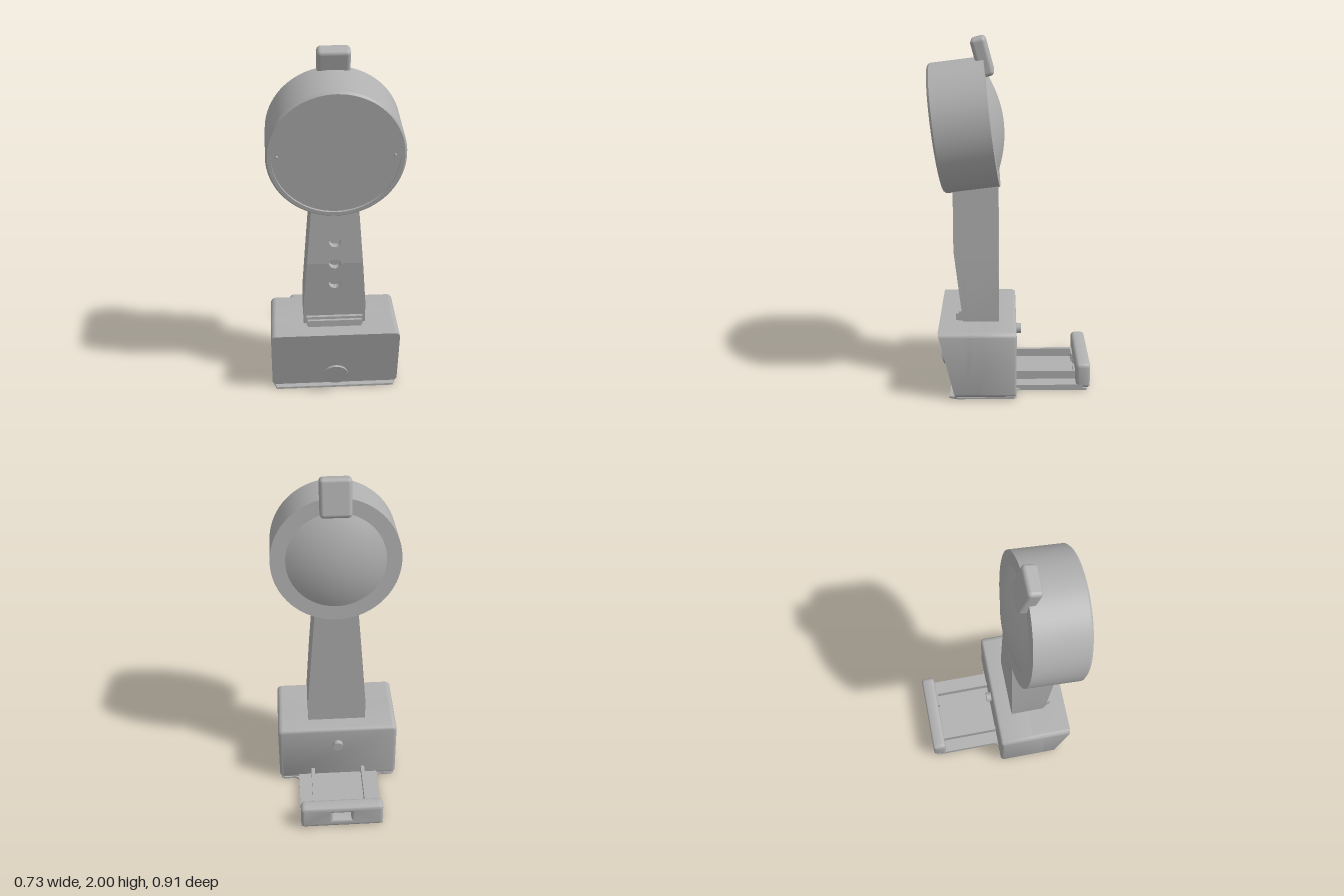
import * as THREE from 'three';
import { toCreasedNormals } from 'three/addons/utils/BufferGeometryUtils.js';
import { RoundedBoxGeometry } from 'three/addons/geometries/RoundedBoxGeometry.js';

const grey = new THREE.MeshStandardMaterial({ color: 0xb0b0b0 });
grey.name = 'matte grey';

export function createModel() {
  const model = new THREE.Group();
  model.name = 'handheldDevice';

  const add = (name, geo, x = 0, y = 0, z = 0, parent = model) => {
    const mesh = new THREE.Mesh(geo, grey);
    mesh.name = name;
    mesh.position.set(x, y, z);
    parent.add(mesh);
    return mesh;
  };
  const box = (name, w, h, d, x, y, z) => add(name, new THREE.BoxGeometry(w, h, d), x, y, z);
  const poly = (pts) => new THREE.Shape(pts.map(([x, y]) => new THREE.Vector2(x, y)));
  const circle = (y, r) => new THREE.Path().absarc(0, y, r, 0, Math.PI * 2);
  const rectHole = (x, y0, y1) => new THREE.Path(
    [[-x, y0], [-x, y1], [x, y1], [x, y0]].map(([a, b]) => new THREE.Vector2(a, b)));

  const roundRect = (x, y0, y1, r) => {
    const s = new THREE.Shape();
    s.moveTo(-x + r, y0);
    s.absarc(x - r, y0 + r, r, -Math.PI / 2, 0);
    s.absarc(x - r, y1 - r, r, 0, Math.PI / 2);
    s.absarc(-x + r, y1 - r, r, Math.PI / 2, Math.PI);
    s.absarc(-x + r, y0 + r, r, Math.PI, Math.PI * 1.5);
    return s;
  };

  // Extrusion whose back and front faces follow rules of height
  const slab = (name, shape, back, front) => {
    const g = new THREE.ExtrudeGeometry(shape, { depth: 1, bevelEnabled: false, curveSegments: 16 });
    const p = g.attributes.position;
    for (let i = 0; i < p.count; i++) {
      const y = p.getY(i);
      p.setZ(i, THREE.MathUtils.lerp(back(y), front(y), p.getZ(i)));
    }
    g.computeVertexNormals();
    return add(name, toCreasedNormals(g, 0.5));
  };

  // Rounded extrusion between two depths
  const rounded = (name, shape, z0, z1, bevel) => {
    const g = new THREE.ExtrudeGeometry(shape, {
      depth: z1 - z0 - 2 * bevel, bevelThickness: bevel, bevelSize: bevel,
      bevelOffset: -bevel, bevelSegments: 4, curveSegments: 8,
    });
    return add(name, toCreasedNormals(g, 0.6), 0, 0, z0 + bevel);
  };

  // Base: hollow rear housing and solid slanted front
  const housing = roundRect(0.365, 0.008, 0.4, 0.03);
  housing.holes.push(rectHole(0.275, 0.035, 0.36));
  rounded('baseHousing', housing, -0.035, 0.26, 0.02);
  slab('baseFront', roundRect(0.365, 0.008, 0.4, 0.03), () => 0.17, (y) => 0.31 + 0.095 * y / 0.4);

  // Bottom plate, flared where the tray meets the base
  const plate = poly([[-0.34, 0.345], [0.34, 0.345], [0.355, 0.3], [0.355, -0.02], [0.34, -0.035], [0.275, -0.035]]);
  plate.quadraticCurveTo(0.245, -0.035, 0.245, -0.065);
  plate.lineTo(0.245, -0.44);
  plate.lineTo(-0.245, -0.44);
  plate.lineTo(-0.245, -0.065);
  plate.quadraticCurveTo(-0.245, -0.035, -0.275, -0.035);
  plate.lineTo(-0.34, -0.035);
  plate.lineTo(-0.355, -0.02);
  plate.lineTo(-0.355, 0.3);
  const plateGeo = new THREE.ExtrudeGeometry(plate, { depth: 0.012, bevelEnabled: false });
  plateGeo.rotateX(Math.PI / 2);
  add('bottomPlate', plateGeo, 0, 0.012, 0);

  // Tray with rails and a slotted end wall
  box('trayFloor', 0.49, 0.025, 0.59, 0, 0.0205, -0.125);
  for (const s of [-1, 1]) {
    box('trayRail', 0.022, 0.05, 0.55, s * 0.156, 0.057, -0.11);
    box('trayEndRail', 0.08, 0.05, 0.015, s * 0.107, 0.057, -0.378);
  }
  const endWall = roundRect(0.245, 0.008, 0.16, 0.025);
  endWall.holes.push(rectHole(0.055, 0.06, 0.115));
  rounded('trayEndWall', endWall, -0.46, -0.38, 0.018);

  // Stepped peg inside the housing
  for (const [r, z] of [[0.045, -0.02], [0.03, -0.065]]) {
    const g = new THREE.CylinderGeometry(r, r, 0.18 - z, 32);
    g.rotateX(Math.PI / 2);
    add('housingPeg', g, 0, 0.282, (0.18 + z) / 2);
  }

  // Round cover standing off the slanted front
  const cover = add('roundCover', new THREE.CylinderGeometry(0.07, 0.07, 0.012, 48), 0, 0.13, 0.398);
  cover.rotation.x = Math.PI / 2 + 0.24;

  // Handle: solid back and a front layer with three blind holes
  const bend = 0.815, wBend = 0.155, r = 0.033;
  const front = (y) => 0.32 - 0.05 * Math.max(0, bend - y) / 0.415;
  const inner = (y) => front(y) - 0.04;
  const lower = [[-wBend, bend], [-0.176, 0.53], [-0.176, 0.38], [0.176, 0.38], [0.176, 0.53], [wBend, bend]];
  const upper = [[wBend, bend], [0.125, 1.2], [-0.125, 1.2], [-wBend, bend]];
  const lowerFront = poly(lower), upperFront = poly(upper);
  lowerFront.lineTo(r, bend);
  lowerFront.absarc(0, bend, r, 0, Math.PI, true);
  upperFront.lineTo(-r, bend);
  upperFront.absarc(0, bend, r, Math.PI, 0, true);
  lowerFront.holes.push(circle(0.68, r));
  upperFront.holes.push(circle(0.95, r));
  slab('handleLowerBack', poly(lower), () => 0.065, inner);
  slab('handleUpperBack', poly(upper), () => 0.065, inner);
  slab('handleLowerFront', lowerFront, inner, front);
  slab('handleUpperFront', upperFront, inner, front);

  // Small ledge at the foot of the handle
  box('ledge', 0.32, 0.06, 0.03, 0, 0.425, 0.28);
  box('ledgeLip', 0.305, 0.045, 0.02, 0, 0.417, 0.302);

  // Tilted round head with a domed back and recessed front
  const head = new THREE.Group();
  head.name = 'head';
  head.position.set(0, 1.525, 0.1);
  head.rotation.x = 0.125;
  model.add(head);
  const profile = [];
  for (let i = 0; i <= 10; i++) {
    const t = i / 10;
    profile.push(new THREE.Vector2(0.28 * t, -0.065 * (1 - t * t)));
  }
  for (const [x, y] of [[0.365, 0], [0.365, 0.3], [0.355, 0.312], [0.335, 0.312], [0.335, 0.3], [0, 0.3]]) {
    profile.push(new THREE.Vector2(x, y));
  }
  const headGeo = new THREE.LatheGeometry(profile, 80);
  headGeo.rotateX(Math.PI / 2);
  add('headShell', toCreasedNormals(headGeo, 0.4), 0, 0, 0, head);
  for (const s of [-1, 1]) add('facePin', new THREE.SphereGeometry(0.008, 12, 8), s * 0.305, 0, 0.3, head);

  // Rounded tab on top of the head
  const tab = add('topTab', new RoundedBoxGeometry(0.176, 0.215, 0.085, 4, 0.022), 0, 1.888, 0.151);
  tab.rotation.x = 0.26;

  return model;
}
